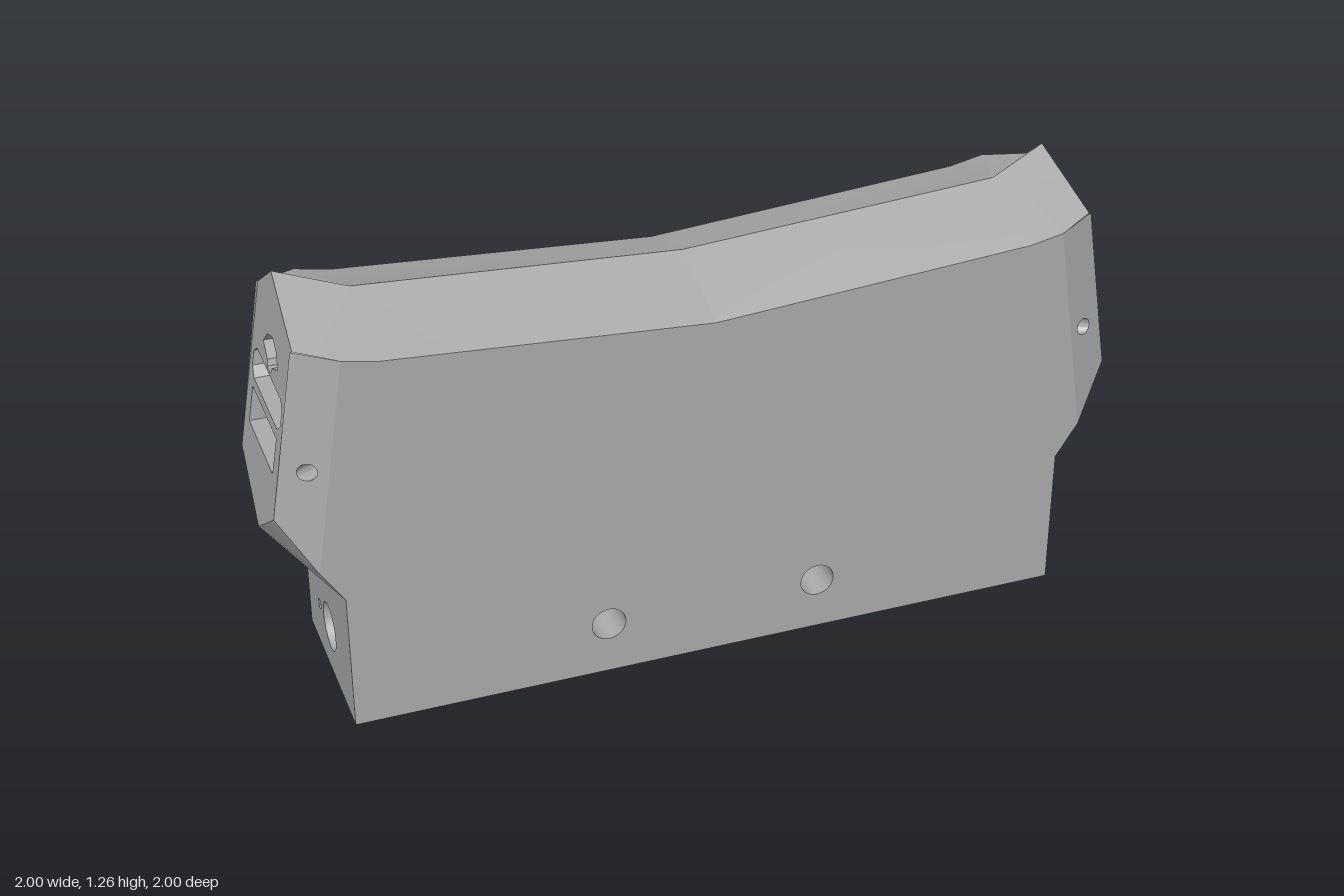
import * as THREE from 'three';
import { toCreasedNormals } from 'three/addons/utils/BufferGeometryUtils.js';

const T = 0.262; // half thickness
const grey = new THREE.MeshStandardMaterial({ color: 0xaaaaaa, side: THREE.DoubleSide });
grey.name = 'grey plastic';

const oval = (a, y, ra, ry = ra, n = 28) => Array.from({ length: n }, (_, i) => {
  const t = (i / n) * Math.PI * 2;
  return [a + ra * Math.cos(t), y + ry * Math.sin(t)];
});
const slot = (a, y0, y1, r) => Array.from({ length: 26 }, (_, i) => {
  const t = ((i < 13 ? i : i - 1) / 12) * Math.PI;
  return [a + r * Math.cos(t), (i < 13 ? y1 - r : y0 + r) + r * Math.sin(t)];
});
const rect = (a0, a1, y0, y1) => [[a0, y0], [a1, y0], [a1, y1], [a0, y1]];

function meshFrom(positions, name) {
  const g = new THREE.BufferGeometry();
  g.setAttribute('position', new THREE.Float32BufferAttribute(positions, 3));
  const mesh = new THREE.Mesh(toCreasedNormals(g, 0.5), grey);
  mesh.name = name;
  return mesh;
}

// Flat panel with sunk or open holes; map(a, y, depth) places it in space
function panel(name, outline, holes, map) {
  const pos = [];
  const fill = (pts, list, depth) => {
    const shape = new THREE.Shape(pts.map(p => new THREE.Vector2(...p)));
    for (const h of list) shape.holes.push(new THREE.Path(h.pts.map(p => new THREE.Vector2(...p))));
    const g = new THREE.ShapeGeometry(shape).toNonIndexed();
    const p = g.attributes.position;
    for (let i = 0; i < p.count; i++) pos.push(...map(p.getX(i), p.getY(i), depth));
    for (const h of list) {
      const end = depth + h.depth;
      h.pts.forEach((s, i) => {
        const e = h.pts[(i + 1) % h.pts.length];
        if (h.skip && h.skip(s, e)) return;
        const q = [map(...s, depth), map(...e, depth), map(...e, end), map(...s, end)];
        for (const k of [0, 1, 2, 0, 2, 3]) pos.push(...q[k]);
      });
      if (h.floor) fill(h.pts, h.holes || [], end);
    }
  };
  fill(outline, holes, 0);
  return meshFrom(pos, name);
}

// Plane through three [u, v, y] points, solved for u
function planeU(a, b, c) {
  const V = p => new THREE.Vector3(...p);
  const n = V(b).sub(V(a)).cross(V(c).sub(V(a)));
  return (v, y) => a[0] - (n.y * (v - a[1]) + n.z * (y - a[2])) / n.x;
}

export function createModel() {
  const model = new THREE.Group();
  const body = new THREE.Group();
  body.name = 'housing';
  body.rotation.y = Math.PI / 4;
  model.add(body);

  // Long side outline and screw holes
  const half = [[1.054, 0], [1.054, 0.42], [1.118, 0.52], [1.02, 1.155], [0.92, 1.135]];
  const side = [...half, [0, 1.07], ...half.map(([u, y]) => [-u, y]).reverse()];
  const screws = [-0.315, 0.315].map(u => ({ pts: oval(u, 0.16, 0.05), depth: 0.26 }));
  body.add(panel('frontSide', side, screws, (u, y, d) => [u, y, T - d]));

  // Back side with a stepped pocket around a raised centre block
  const opening = o => {
    const b = 0.455 + o, t = 0.257 + o;
    const arc = Array.from({ length: 13 }, (_, i) => {
      const a = Math.PI * (1 + i / 12), r = 0.1 - o;
      return [r * Math.cos(a), t + r * Math.sin(a)];
    });
    return [[o - 1.005, 0.055 + o], [-b, 0.055 + o], [-b, t], ...arc, [b, t], [b, 0.055 + o],
      [1.005 - o, 0.055 + o], [1.005 - o, 0.75 - o], [o - 1.005, 0.75 - o]];
  };
  const isEnd = (p, q) => Math.abs(p[0]) > 0.98 && Math.abs(p[0] - q[0]) < 0.001;
  const pocket = {
    pts: opening(0), depth: 0.03, floor: true,
    holes: [{ pts: opening(0.02), depth: 0.447, floor: true, skip: isEnd }],
  };
  body.add(panel('backSide', side, [...screws, pocket], (u, y, d) => [u, y, d - T]));

  // Base plate with button hole
  body.add(panel('basePlate', rect(-1.054, 1.054, -T, T),
    [{ pts: oval(0, 0, 0.1), depth: 0.29 }], (u, v, d) => [u, d, v]));

  // Corner points of one end, as [u, v, y]
  const A = k => [1.054, k * T, 0.42], B = k => [1.118, k * T, 0.52], C = k => [1.216, k * 0.198, 0.675];
  const D = k => [1.13, k * 0.2, 1.17], E = k => [1.02, k * T, 1.155], F = k => [0.92, k * T, 1.135];
  const M = [1.234, 0.057, 0.57], P = [1.115, -0.078, 1.26], R = [0.926, 0, 1.22];
  const O = [0, 0, 1.16], G = k => [0, k * T, 1.07];
  const vy = p => [p[1], p[2]];

  for (const s of [-1, 1]) {
    const end = s > 0 ? 'left' : 'right';

    // Sloping top, flared underside
    const top = [], under = [];
    const tri = (list, ...pts) => pts.forEach(([u, v, y]) => list.push(s * u, y, v));
    for (const k of [-1, 1]) {
      tri(top, O, G(k), F(k)); tri(top, O, F(k), R);
      tri(top, R, F(k), E(k)); tri(top, R, E(k), D(k)); tri(top, R, D(k), P);
      tri(under, A(k), B(k), M); tri(under, B(k), C(k), M);
    }
    tri(under, A(1), A(-1), M);
    body.add(meshFrom(top, end + 'Top'), meshFrom(under, end + 'Underside'));

    // Upper end face with recesses
    const face = planeU(C(1), C(-1), D(1));
    const cap = [[-0.085, 1.055], [-0.025, 1.03], [-0.02, 1.012], [0.02, 1.012], [0.025, 1.03],
      [0.085, 1.055], [0.05, 1.092], [0, 1.108], [-0.05, 1.092]];
    const wide = [[-0.17, 0.935], [-0.14, 0.912], [0.14, 0.912], [0.165, 0.935],
      [0.165, 0.98], [0.14, 1.002], [-0.14, 1.002], [-0.17, 0.98]];
    body.add(panel(end + 'EndFace', [C(-1), M, C(1), D(1), P, D(-1)].map(vy), [
      { pts: cap, depth: 0.12, floor: true },
      { pts: wide, depth: 0.12, floor: true },
      { pts: rect(-0.145, 0.14, 0.78, 0.885), depth: 0.06, floor: true,
        holes: [{ pts: oval(0, 0.825, 0.045, 0.025), depth: 0.08, floor: true }] },
    ], (v, y, d) => [s * (face(v, y) - d), y, v]));

    // Corner chamfers with pin holes
    for (const k of [-1, 1]) {
      const slope = planeU(C(k), B(k), E(k));
      body.add(panel(end + 'Chamfer', [C(k), B(k), E(k), D(k)].map(vy),
        [{ pts: oval(k * 0.234, 0.825, 0.013, 0.025), depth: 0.08, floor: true }],
        (v, y, d) => [s * (slope(v, y) - d), y, v - k * d * 0.5]));
    }

    // Lower end wall and matching inner pocket wall
    const ports = s > 0
      ? [{ pts: slot(0.166, 0.135, 0.35, 0.043), depth: 0.069 }]
      : [{ pts: oval(0, 0.155, 0.072), depth: 0.069 }];
    const notch = s < 0 ? [{ pts: rect(-0.13, -0.105, 0.14, 0.168), depth: 0.04, floor: true }] : [];
    body.add(panel(end + 'LowerEnd', rect(-T, T, 0, 0.42), [...ports, ...notch],
      (v, y, d) => [s * (1.054 - d), y, v]));
    body.add(panel(end + 'PocketWall', rect(-0.232, 0.215, 0.075, 0.73),
      ports.map(p => ({ pts: p.pts, depth: 0 })), (v, y) => [s * 0.985, y, v]));
  }

  // Pocket interior
  const box = (name, u0, u1, y0, y1, v0, v1) => {
    const m = new THREE.Mesh(new THREE.BoxGeometry(u1 - u0, y1 - y0, v1 - v0), grey);
    m.position.set((u0 + u1) / 2, (y0 + y1) / 2, (v0 + v1) / 2);
    m.name = name;
    body.add(m);
  };
  box('cradleStop', 0.6, 0.635, 0.075, 0.58, -0.1, 0.214);
  box('cradleFoot', 0.475, 0.6, 0.075, 0.277, -0.16, 0.214);
  box('rightLedge', -0.984, -0.475, 0.075, 0.27, -0.04, 0.1);
  box('rightBackWall', -0.984, -0.45, 0.075, 0.73, 0.04, 0.214);

  // Concave cradles either side of the button well
  const profile = new THREE.Shape();
  profile.moveTo(0.214, 0.277);
  profile.lineTo(-0.04, 0.277);
  for (let i = 0; i <= 12; i++) {
    const a = -Math.PI / 2 + (i / 12) * Math.PI / 2;
    profile.lineTo(-0.04 + 0.25 * Math.cos(a), 0.58 + 0.28 * Math.sin(a));
  }
  profile.lineTo(0.214, 0.58);
  for (const [u0, u1] of [[0.22, 0.6], [-0.45, -0.22]]) {
    const g = new THREE.ExtrudeGeometry(profile, { depth: u1 - u0, bevelEnabled: false });
    g.rotateY(-Math.PI / 2); // profile x to +z, depth to -x
    g.translate(u1, 0, 0);
    const m = new THREE.Mesh(toCreasedNormals(g, 0.5), grey);
    m.name = 'cradle';
    body.add(m);
  }

  // Round button well: back wall and seat ring
  const well = new THREE.Mesh(
    new THREE.CylinderGeometry(0.214, 0.214, 0.453, 32, 1, true, -Math.PI / 2, Math.PI), grey);
  well.position.y = 0.5035;
  well.name = 'wellWall';
  const ring = [[0.1, 0.26], [0.15, 0.265], [0.19, 0.3], [0.214, 0.3], [0.214, 0.27]];
  const seat = new THREE.Mesh(toCreasedNormals(
    new THREE.LatheGeometry(ring.map(p => new THREE.Vector2(...p)), 40), 0.5), grey);
  seat.name = 'buttonSeat';
  body.add(well, seat);

  return model;
}
